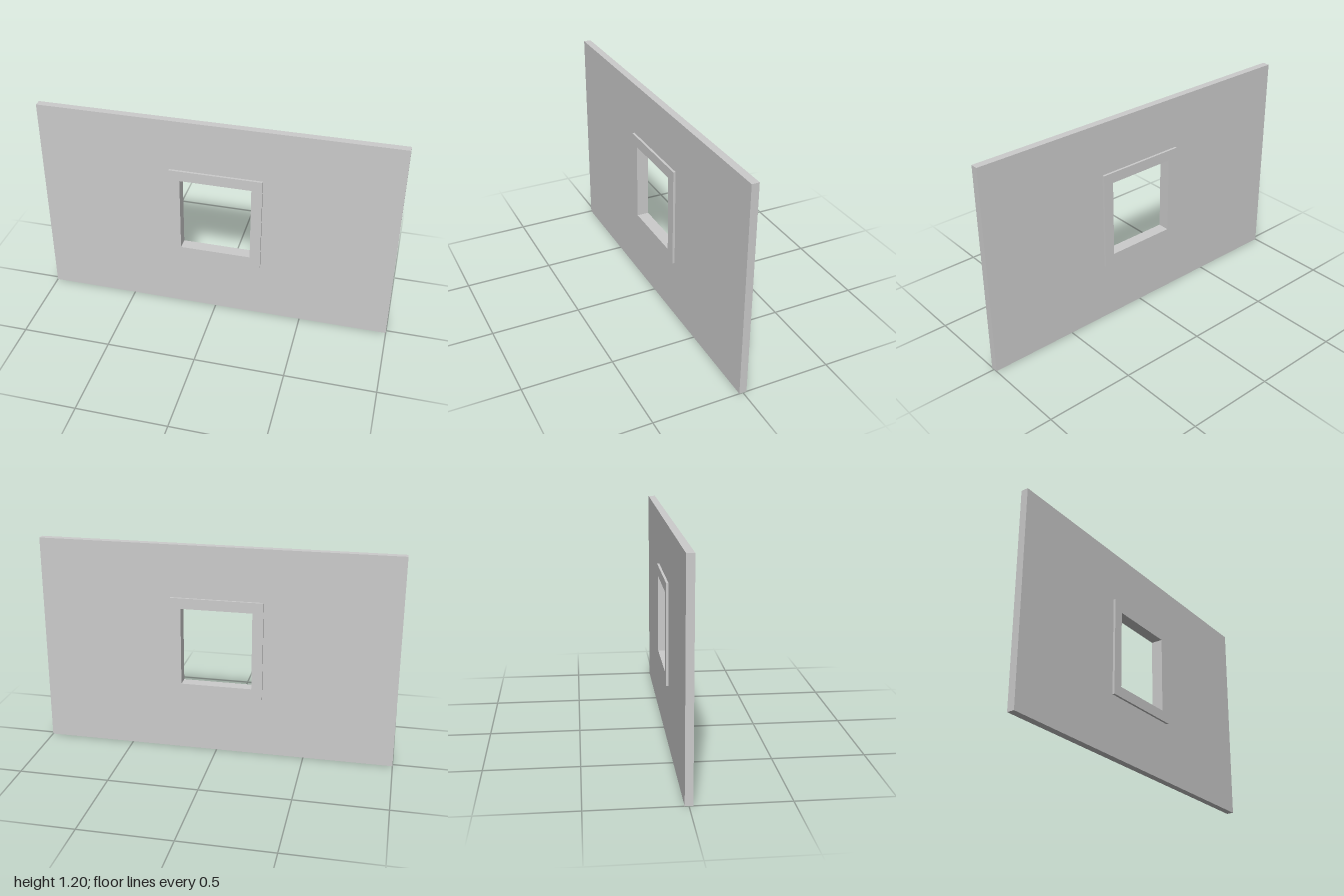
import * as THREE from 'three';

// Rectangle path from [left, bottom, right, top]
function trace(path, [l, b, r, t]) {
  path.moveTo(l, b);
  path.lineTo(r, b);
  path.lineTo(r, t);
  path.lineTo(l, t);
  path.closePath();
  return path;
}

// Rectangular panel with a rectangular opening, centred on z = 0
function panel(name, outer, opening, depth, material) {
  const shape = trace(new THREE.Shape(), outer);
  shape.holes.push(trace(new THREE.Path(), opening));
  const geometry = new THREE.ExtrudeGeometry(shape, { depth, bevelEnabled: false });
  geometry.translate(0, 0, -depth / 2);
  const mesh = new THREE.Mesh(geometry, material);
  mesh.name = name;
  return mesh;
}

export function createModel() {
  const lightGrey = new THREE.MeshStandardMaterial({ color: 0xcccccc });
  lightGrey.name = 'lightGrey';

  const wallEdge = [-1, 0, 1, 1.2];
  const frameEdge = [-0.26, 0.34, 0.26, 0.904];
  const windowEdge = [-0.2, 0.4, 0.2, 0.844];

  const group = new THREE.Group();
  group.name = 'wallWithWindow';
  // Thin wall, with the frame filling its opening and standing proud on both sides
  group.add(panel('wall', wallEdge, frameEdge, 0.041, lightGrey));
  group.add(panel('windowFrame', frameEdge, windowEdge, 0.067, lightGrey));
  return group;
}
